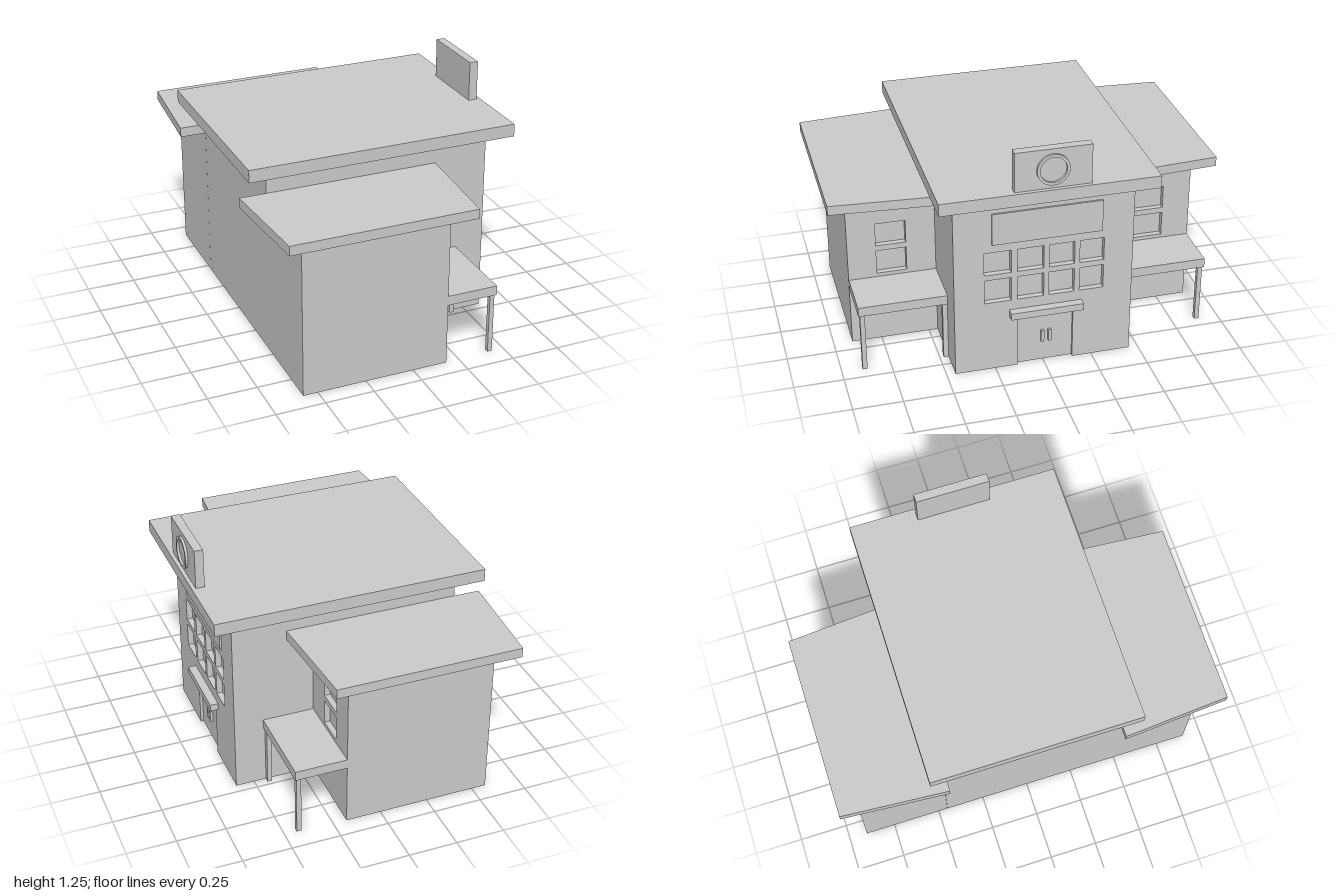
import * as THREE from 'three';

const material = new THREE.MeshStandardMaterial({ color: 0xcccccc, flatShading: true });
const BACK = -0.575, REVEAL = 0.03;

function addMesh(parent, name, geometry) {
  const mesh = new THREE.Mesh(geometry, material);
  mesh.name = name;
  parent.add(mesh);
  return mesh;
}

// Box given by its extents on each axis
function addBox(parent, name, [x0, x1], [y0, y1], [z0, z1]) {
  const mesh = addMesh(parent, name, new THREE.BoxGeometry(x1 - x0, y1 - y0, z1 - z0));
  mesh.position.set((x0 + x1) / 2, (y0 + y1) / 2, (z0 + z1) / 2);
  return mesh;
}

// Solid block with a pierced facade slab on its +x side
function addBlock(parent, name, frontX, height, [z0, z1], windows, door) {
  const block = new THREE.Group();
  block.name = name;
  parent.add(block);
  addBox(block, name + 'Body', [BACK, frontX - REVEAL], [0, height], [z0, z1]);

  // The shape's x axis becomes -z once turned to face +x
  const outline = [[-z1, 0]];
  if (door) {
    outline.push([-door.z[1], 0], [-door.z[1], door.top], [-door.z[0], door.top], [-door.z[0], 0]);
  }
  outline.push([-z0, 0], [-z0, height], [-z1, height]);
  const shape = new THREE.Shape(outline.map(([x, y]) => new THREE.Vector2(x, y)));
  for (const { z, y } of windows) {
    shape.holes.push(new THREE.Path([
      new THREE.Vector2(-z[1], y[0]), new THREE.Vector2(-z[1], y[1]),
      new THREE.Vector2(-z[0], y[1]), new THREE.Vector2(-z[0], y[0]),
    ]));
  }
  const slab = new THREE.ExtrudeGeometry(shape, { depth: REVEAL, bevelEnabled: false });
  slab.rotateY(Math.PI / 2).translate(frontX - REVEAL, 0, 0);
  addMesh(block, name + 'Facade', slab);
  return block;
}

export function createModel() {
  const model = new THREE.Group();
  model.name = 'stationBuilding';
  const rows = [[0.39, 0.52], [0.55, 0.675]];
  const windowGrid = (columns) => columns.flatMap((z) => rows.map((y) => ({ z, y })));

  // Central block with two rows of four windows and a doorway
  const columns = [[0.168, 0.303], [0.003, 0.137], [-0.153, -0.024], [-0.303, -0.18]];
  const door = { z: [-0.15, 0.135], top: 0.3 };
  addBlock(model, 'mainBlock', 0.595, 0.975, [-0.452, 0.455], windowGrid(columns), door);
  addBox(model, 'mainRoof', [-0.69, 0.705], [0.975, 1.04], [-0.543, 0.543]);

  // Entrance
  addBox(model, 'doorPanel', [0.56, 0.58], [0.002, door.top], door.z);
  for (const z of [[-0.003, 0.013], [-0.04, -0.024]]) {
    addBox(model, 'doorHandle', [0.575, 0.594], [0.115, 0.18], z);
  }
  addBox(model, 'doorCanopy', [0.59, 0.637], [0.298, 0.335], [-0.193, 0.178]);
  addBox(model, 'nameBoard', [0.59, 0.604], [0.72, 0.89], [-0.29, 0.265]);

  // Rooftop board with a round frame
  addBox(model, 'roofBoard', [0.64, 0.685], [1.04, 1.245], [-0.202, 0.177]);
  const ring = new THREE.Shape().absarc(0, 0, 0.081, 0, Math.PI * 2);
  ring.holes.push(new THREE.Path().absarc(0, 0, 0.066, 0, Math.PI * 2, true));
  const ringGeometry = new THREE.ExtrudeGeometry(ring, { depth: 0.013, bevelEnabled: false, curveSegments: 12 });
  ringGeometry.rotateY(Math.PI / 2);
  addMesh(model, 'roundFrame', ringGeometry).position.set(0.684, 1.14, -0.01);

  // Side wings, mirrored about z = 0
  for (const side of [1, -1]) {
    const span = (a, b) => (side > 0 ? [a, b] : [-b, -a]);
    const wing = new THREE.Group();
    wing.name = side > 0 ? 'leftWing' : 'rightWing';
    model.add(wing);
    addBlock(wing, 'wingBlock', 0.18, 0.815, span(0.453, 0.904), windowGrid([span(0.605, 0.758)]));

    // Roof slab that narrows towards its outer end
    const roof = addBox(wing, 'wingRoof', [-0.71, 0.317], [0.813, 0.863], span(0.453, 1));
    const position = roof.geometry.attributes.position;
    for (let i = 0; i < position.count; i++) {
      if (position.getZ(i) * side > 0) {
        position.setX(i, position.getX(i) - Math.sign(position.getX(i)) * 0.04);
      }
    }
    roof.geometry.computeVertexNormals();

    // Porch on two posts
    addBox(wing, 'porchRoof', [0.178, 0.445], [0.32, 0.37], span(0.453, 0.903));
    for (const z of [span(0.453, 0.48), span(0.871, 0.895)]) {
      addBox(wing, 'porchPost', [0.413, 0.437], [0, 0.325], z);
    }
  }
  return model;
}
